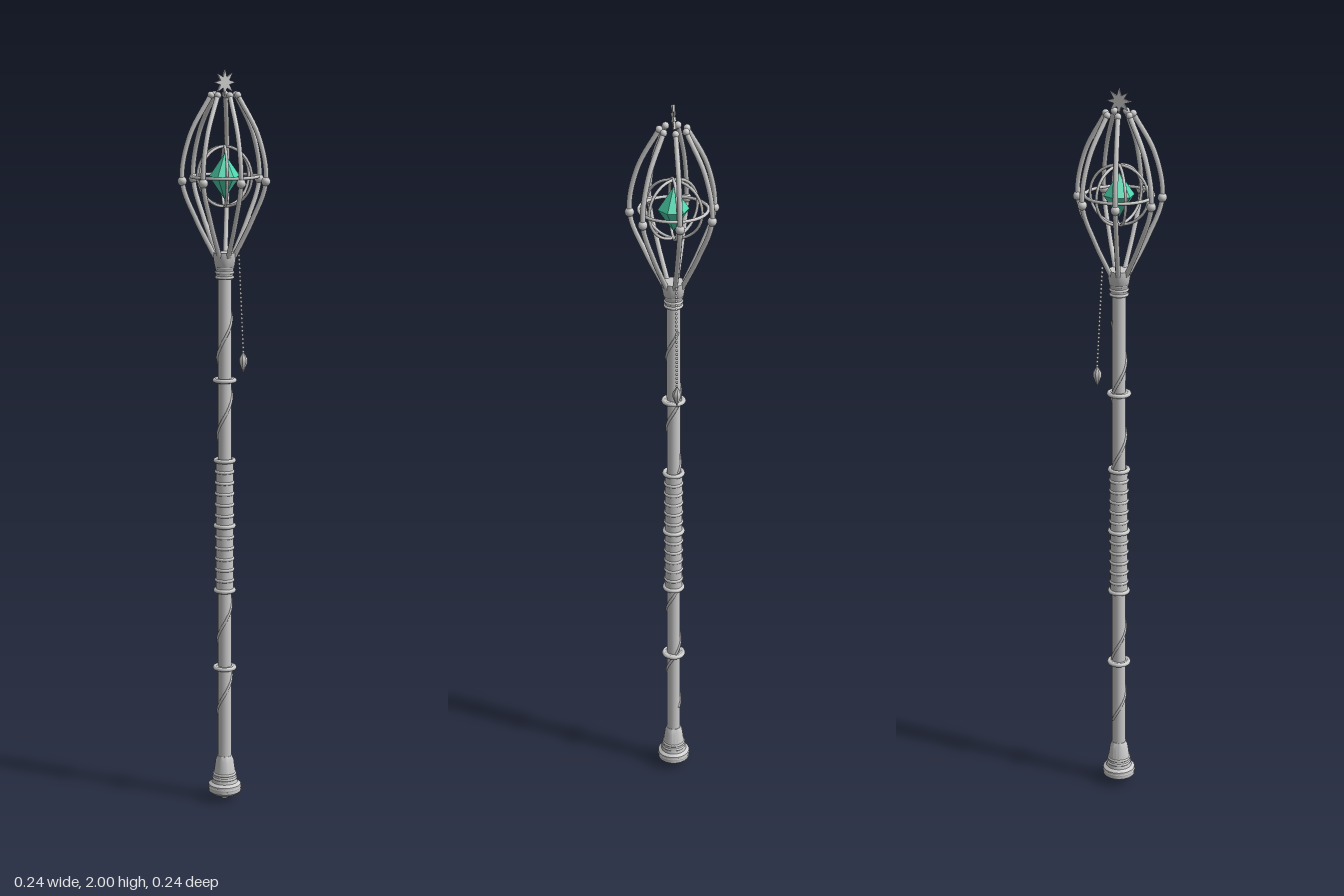
import * as THREE from 'three';
import { toCreasedNormals } from 'three/addons/utils/BufferGeometryUtils.js';

const grey = new THREE.MeshStandardMaterial({ color: 0xcccccc });
const green = new THREE.MeshStandardMaterial({ color: 0x4fd8b0, flatShading: true });

const v2 = (p) => new THREE.Vector2(p[0], p[1]);

export function createModel() {
  const model = new THREE.Group();
  const staff = new THREE.Group();
  staff.name = 'staff';
  staff.position.x = -0.0055;
  model.add(staff);

  function add(name, geometry, x = 0, y = 0, z = 0, parent = staff, material = grey) {
    const mesh = new THREE.Mesh(geometry, material);
    mesh.name = name;
    mesh.position.set(x, y, z);
    parent.add(mesh);
    return mesh;
  }
  // Turned part from [radius, height] points, listed upwards
  const turned = (points, sides = 20) =>
    toCreasedNormals(new THREE.LatheGeometry(points.map(v2), sides), 0.6);
  const flatRing = (name, y, radius, tube) =>
    add(name, new THREE.TorusGeometry(radius, tube, 8, 28).rotateX(Math.PI / 2), 0, y);

  // Shaft and flared foot
  add('shaft', new THREE.CylinderGeometry(0.018, 0.019, 1.4, 16), 0, 0.78);
  add('pommel', turned([
    [0, 0.018], [0.036, 0.018], [0.045, 0.026], [0.045, 0.046], [0.036, 0.052],
    [0.034, 0.06], [0.029, 0.085], [0.025, 0.115], [0.02, 0.128], [0, 0.128],
  ]));
  flatRing('pommelRing', 0.037, 0.04, 0.006);
  for (const [y, r] of [[0.064, 0.031], [0.076, 0.029]]) flatRing('pommelBand', y, r, 0.004);
  add('pommelKnob', new THREE.SphereGeometry(0.014, 12, 8), 0, 0.014);

  // Collar under the cage
  add('collar', turned([
    [0, 1.455], [0.022, 1.455], [0.024, 1.485], [0.027, 1.49],
    [0.031, 1.515], [0.031, 1.526], [0, 1.526],
  ]));
  for (const y of [1.46, 1.473, 1.486]) flatRing('collarBand', y, 0.022, 0.004);

  // Wrapped grip
  add('grip', new THREE.CylinderGeometry(0.024, 0.024, 0.36, 20), 0, 0.782);
  for (let i = 1; i < 12; i++) {
    if (i !== 6) flatRing('gripWrap', 0.602 + i * 0.0302, 0.0225, 0.0048);
  }
  for (const y of [0.603, 0.784, 0.965]) flatRing('gripBand', y, 0.025, 0.006);

  // Thin shaft rings
  for (const y of [0.383, 1.184]) {
    flatRing('shaftRing', y, 0.027, 0.006);
    add('shaftRingCore', new THREE.CylinderGeometry(0.025, 0.025, 0.009, 20), 0, y);
  }

  // Spiral winding round the shaft
  function spiral(top, bottom, start, pitch) {
    const points = [];
    const n = 40;
    for (let i = 0; i <= n; i++) {
      const y = top + (bottom - top) * i / n;
      const a = (start - y) / pitch * Math.PI * 2;
      points.push(new THREE.Vector3(Math.cos(a) * 0.0185, y, Math.sin(a) * 0.0185));
    }
    add('spiral', new THREE.TubeGeometry(new THREE.CatmullRomCurve3(points), 80, 0.004, 6));
  }
  spiral(1.39, 0.97, 1.37, 0.21);
  spiral(0.6, 0.2, 0.585, 0.205);

  // Cage of seven bowed ribs with beads
  const ribCurve = new THREE.CatmullRomCurve3([
    [0.026, 1.515], [0.074, 1.61], [0.112, 1.714], [0.092, 1.83], [0.036, 1.935],
  ].map(([r, y]) => new THREE.Vector3(r, y, 0)));
  const ribGeometry = new THREE.TubeGeometry(ribCurve, 28, 0.0068, 8);
  for (let i = 0; i < 7; i++) {
    const rib = new THREE.Group();
    rib.name = 'cageRib';
    rib.rotation.y = i / 7 * Math.PI * 2;
    staff.add(rib);
    add('rib', ribGeometry, 0, 0, 0, rib);
    add('ribBead', new THREE.SphereGeometry(0.0125, 12, 8), 0.112, 1.714, 0, rib);
    add('ribTip', new THREE.SphereGeometry(0.0095, 12, 8), 0.036, 1.935, 0, rib);
  }

  // Rings around the gem
  const core = 1.725;
  flatRing('equatorRing', core, 0.0885, 0.0045);
  for (let i = 0; i < 3; i++) {
    const ring = add('uprightRing', new THREE.TorusGeometry(0.078, 0.004, 8, 40), 0, core);
    ring.rotation.y = i * Math.PI / 3;
  }

  // Gem
  add('gem', new THREE.LatheGeometry([[0, -0.06], [0.041, 0], [0, 0.06]].map(v2), 6),
    0, core, 0, staff, green);

  // Flat star at the top
  const star = new THREE.Shape();
  for (let i = 0; i < 16; i++) {
    const r = i % 2 ? 0.015 : 0.033;
    const a = Math.PI / 2 + i * Math.PI / 8;
    star[i ? 'lineTo' : 'moveTo'](Math.cos(a) * r, Math.sin(a) * r);
  }
  star.closePath();
  add('star', new THREE.ExtrudeGeometry(star, { depth: 0.006, bevelEnabled: false }), 0, 1.967, -0.003);

  // Hanging chain of tiny beads with a pointed pendant
  const chain = new THREE.Group();
  chain.name = 'chain';
  staff.add(chain);
  const links = 24;
  for (let i = 0; i <= links; i++) {
    const t = i / links;
    add('link', new THREE.SphereGeometry(0.0038, 6, 5), 0.046 + 0.015 * t, 1.525 - 0.27 * t, 0, chain);
  }
  add('pendant', turned([
    [0, 1.196], [0.012, 1.226], [0.012, 1.236], [0.006, 1.246], [0, 1.256],
  ], 8), 0.061, 0, 0, chain);

  return model;
}
